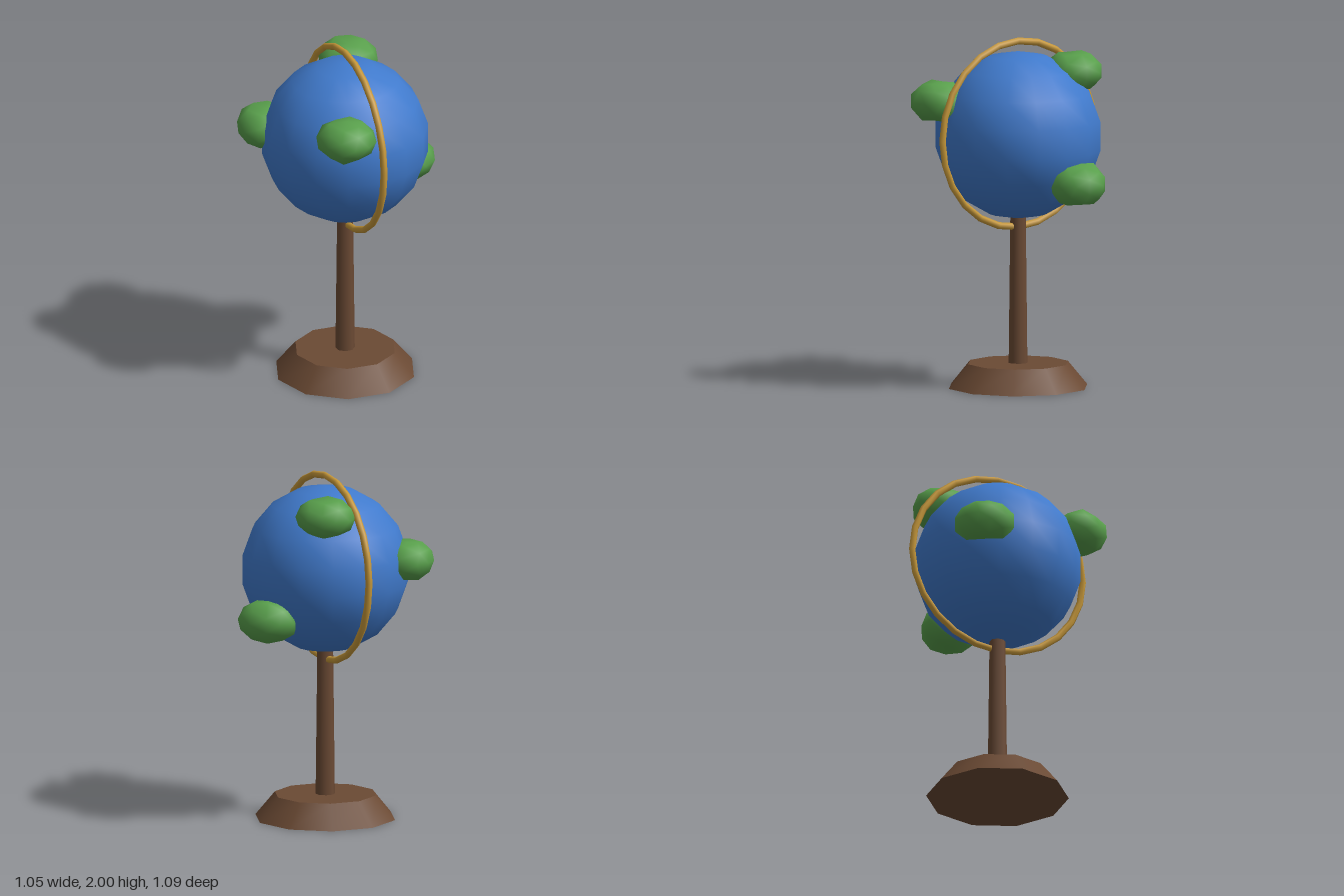
import * as THREE from 'three';
import { mergeVertices } from 'three/addons/utils/BufferGeometryUtils.js';

const mat = (name, color) => {
  const m = new THREE.MeshStandardMaterial({ color });
  m.name = name;
  return m;
};

// Lumpy flattened blob: radii are given every 45 degrees, from +x towards +z
function blobGeometry(radii, halfHeight, seed) {
  let geo = new THREE.IcosahedronGeometry(1, 1);
  geo.deleteAttribute('normal');
  geo.deleteAttribute('uv');
  geo = mergeVertices(geo, 1e-3);
  const p = geo.attributes.position;
  for (let i = 0; i < p.count; i++) {
    const x = p.getX(i), y = p.getY(i), z = p.getZ(i);
    const t = ((Math.atan2(z, x) / (Math.PI / 4)) + 8) % 8;
    const k = Math.floor(t) % 8;
    const r = THREE.MathUtils.lerp(radii[k], radii[(k + 1) % 8], t - Math.floor(t));
    const lump = 1 + 0.08 * Math.sin(i * 2.4 + seed);
    const h = THREE.MathUtils.clamp(y * 1.2, -0.95, 0.95) * lump;
    p.setXYZ(i, x * r * 1.03, h * halfHeight, z * r * 1.03);
  }
  geo.computeVertexNormals();
  return geo;
}

export function createModel() {
  const model = new THREE.Group();
  const wood = mat('wood brown', 0x6b4a34);
  const ocean = mat('ocean blue', 0x407acc);
  const land = mat('land green', 0x59a04c);
  const brass = mat('brass gold', 0xc8993a);
  const cx = 0.01, cz = 0.053;

  const add = (name, geo, material, x, y, z) => {
    const mesh = new THREE.Mesh(geo, material);
    mesh.name = name;
    mesh.position.set(x, y, z);
    model.add(mesh);
    return mesh;
  };

  // Stand
  const base = add('base', new THREE.CylinderGeometry(0.292, 0.405, 0.137, 10), wood, cx, 0.0685, cz);
  base.rotation.y = Math.PI / 4;
  add('post', new THREE.CylinderGeometry(0.045, 0.055, 0.87, 8), wood, cx, 0.565, cz);

  // Globe and its meridian ring
  add('globe', new THREE.SphereGeometry(0.479, 16, 9), ocean, cx, 1.442, cz);
  const ring = add('meridianRing', new THREE.TorusGeometry(0.532, 0.02, 6, 24), brass, cx, 1.447, cz);
  ring.rotation.y = -0.4;

  // Land masses: centre, half height, outline radii
  const lands = [
    ['frontLeftLand', [0.325, 1.65, 0.38], 0.11, [0.165, 0.17, 0.16, 0.178, 0.16, 0.125, 0.14, 0.165]],
    ['frontRightLand', [-0.38, 1.5, 0.31], 0.11, [0.13, 0.18, 0.158, 0.15, 0.15, 0.18, 0.165, 0.13]],
    ['topLand', [-0.195, 1.8, -0.19], 0.105, [0.172, 0.13, 0.165, 0.16, 0.17, 0.16, 0.17, 0.17]],
    ['backLand', [0.075, 1.2, -0.365], 0.115, [0.17, 0.15, 0.15, 0.15, 0.175, 0.165, 0.178, 0.18]],
  ];
  lands.forEach(([name, pos, h, radii], i) => {
    add(name, blobGeometry(radii, h, i * 1.7), land, ...pos);
  });
  return model;
}
